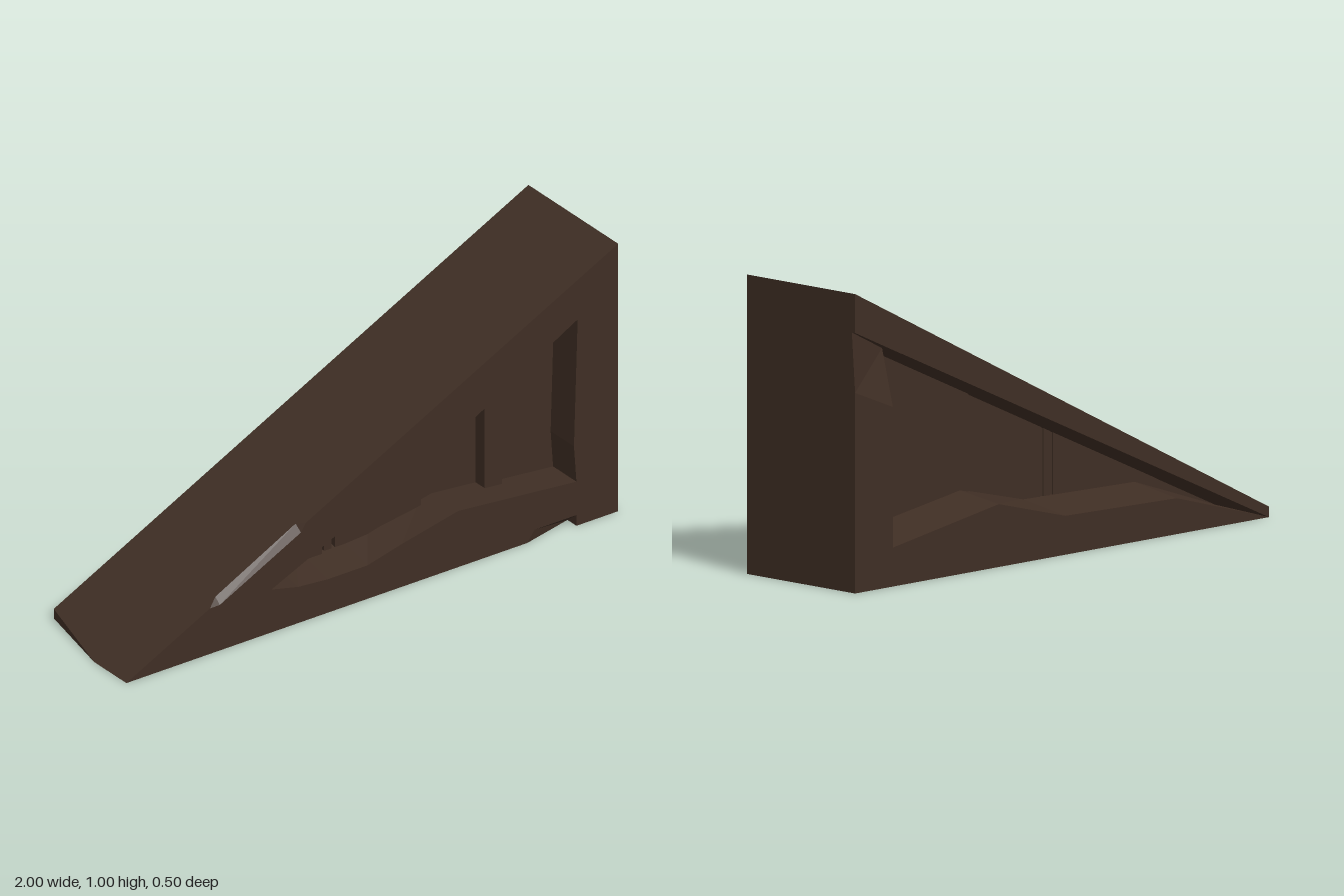
import * as THREE from 'three';

const wood = new THREE.MeshStandardMaterial({ color: 0x3f2e24, side: THREE.DoubleSide });
wood.name = 'dark wood';

const vectors = (pts) => pts.map(([x, y]) => new THREE.Vector2(x, y));

// Flat face: a 2D outline placed in space by a rule, optionally turned over
function face(name, outline, place, flip = false, hole = null) {
  const shape = new THREE.Shape(vectors(outline));
  if (hole) shape.holes.push(new THREE.Path(vectors(hole)));
  const geo = new THREE.ShapeGeometry(shape);
  const pos = geo.attributes.position;
  for (let i = 0; i < pos.count; i++) pos.setXYZ(i, ...place(pos.getX(i), pos.getY(i)));
  if (flip) geo.setIndex(Array.from(geo.index.array).reverse());
  geo.computeVertexNormals();
  const mesh = new THREE.Mesh(geo, wood);
  mesh.name = name;
  return mesh;
}

// Flat-shaded facets, each a convex loop of 3D corners
function facets(name, loops) {
  const out = [];
  for (const p of loops)
    for (let i = 1; i < p.length - 1; i++) out.push(...p[0], ...p[i], ...p[i + 1]);
  const geo = new THREE.BufferGeometry();
  geo.setAttribute('position', new THREE.Float32BufferAttribute(out, 3));
  geo.computeVertexNormals();
  const mesh = new THREE.Mesh(geo, wood);
  mesh.name = name;
  return mesh;
}

// Sides of a recess between an outer and an inner loop
function recessWalls(name, outer, inner, zOut, zIn, flip) {
  const n = outer.length;
  const o = outer.map(([x, y, z = zOut]) => [x, y, z]);
  const q = inner.map(([x, y]) => [x, y, zIn]);
  return facets(name, o.map((a, i) => {
    const j = (i + 1) % n;
    const loop = [a, o[j], q[j], q[i]];
    return flip ? loop.reverse() : loop;
  }));
}

export function createModel() {
  const model = new THREE.Group();
  model.name = 'woodenWedge';
  const F = 0.25, B = -0.25;

  // Front frame with its recess
  const hole = [[-0.41, 0.16], [-0.3, 0.135], [-0.18, 0.125], [-0.02, 0.125], [0.12, 0.16], [0.35, 0.21],
    [0.83, 0.165], [0.82, 0.3], [0.835, 0.77], [0.78, 0.74], [0.37, 0.51], [0.28, 0.47]];
  const rise = [0.005, 0.03, 0.04, 0.04, 0.015];
  const holeInner = hole.map(([x, y], i) => [x, y + (rise[i] || 0)]);
  model.add(face('frontFrame', [[-1, 0], [0.63, 0], [0.66, 0.04], [0.83, 0.04], [0.83, 0], [1, 0], [1, 1],
    [-0.27, 0.365], [-0.29, 0.335], [-0.62, 0.17], [-0.66, 0.17]], (x, y) => [x, y, F], false, hole));
  model.add(recessWalls('frontRecess', hole, holeInner, F, 0.06, false));
  model.add(face('frontBackboard', holeInner, (x, y) => [x, y, 0.06]));

  // Back frame: sloping beam above, post and sill below
  const toBack = (x, y) => [x, y, B];
  model.add(face('backBeam', [[1, 1], [1, 0.87], [-0.93, 0], [-0.93, 0.035]], toBack, true));
  model.add(face('backSill', [[-0.93, 0], [1, 0], [1, 0.67], [0.824, 0.6], [0.824, 0.13], [0.33, 0.21],
    [0.02, 0.13], [-0.5, 0.12]], toBack, true));
  const backHole = [[-0.93, 0], [-0.5, 0.12], [0.02, 0.13], [0.33, 0.21], [0.824, 0.13], [0.824, 0.6],
    [0.824, 0.79, -0.2], [0.824, 0.79]];
  const backInner = [[-0.88, 0.022], [-0.5, 0.15], [0.02, 0.16], [0.33, 0.235], [0.824, 0.16], [0.824, 0.6],
    [0.824, 0.79], [0.824, 0.79]];
  model.add(recessWalls('backRecess', backHole, backInner, B, -0.05, true));
  model.add(face('backBackboard', backInner.slice(0, 7), (x, y) => [x, y, -0.05], true));

  // Worn top of the back post and the seam under the beam
  const R = [0.824, 0.79, -0.2], S = [1, 0.87, -0.235];
  model.add(facets('postTop', [
    [[1, 0.67, B], [0.824, 0.6, B], R, S],
    [[1, 0.87, B], S, R, [0.824, 0.79, B]],
  ]));

  // Outer faces
  model.add(face('slope', [[-1, F], [-0.66, F], [-0.62, 0.225], [-0.29, 0.22], [-0.27, F], [1, F], [1, B],
    [-0.93, B], [-1, 0.07]], (x, z) => [x, 0.5 * (x + 1), z], true));
  model.add(face('base', [[-1, F], [0.63, F], [0.83, 0.2], [0.83, F], [1, F], [1, B], [-0.93, B], [-1, 0.07]],
    (x, z) => [x, 0, z]));
  model.add(face('tallEnd', [[F, 0], [B, 0], [B, 0.67], [-0.235, 0.87], [B, 0.87], [B, 1], [F, 1]],
    (z, y) => [1, y, z], true));

  // Chips: tip corner, upper front edge, lower front edge
  model.add(facets('tipChip', [[[-1, 0, 0.07], [-0.93, 0.035, B], [-0.93, 0, B]]]));
  const f0 = [-0.62, 0.17, F], f1 = [-0.29, 0.335, F], s0 = [-0.62, 0.19, 0.225], s1 = [-0.29, 0.355, 0.22];
  model.add(facets('upperEdgeChip', [[f0, f1, s1, s0], [[-0.66, 0.17, F], f0, s0], [f1, [-0.27, 0.365, F], s1]]));
  const b = [0.66, 0.04, F], c = [0.83, 0.04, F], d = [0.83, 0, 0.2];
  model.add(facets('lowerEdgeChip', [[[0.63, 0, F], d, b], [b, d, c], [d, [0.83, 0, F], c]]));

  // Upright planks filling the frame: x from, x to, back z, front z
  const planks = [[-0.6, -0.12, -0.055, 0.134], [-0.105, -0.075, -0.055, 0.125], [-0.06, 0.29, -0.055, 0.125],
    [0.29, 0.53, -0.07, 0.1], [0.53, 0.6, -0.07, 0.15], [0.6, 0.85, -0.07, 0.12]];
  const top = (x) => 0.448 * x + 0.43;
  for (const [x0, x1, z0, z1] of planks) {
    const shape = new THREE.Shape(vectors([[x0, 0.1], [x1, 0.1], [x1, top(x1)], [x0, top(x0)]]));
    const geo = new THREE.ExtrudeGeometry(shape, { depth: z1 - z0, bevelEnabled: false });
    geo.translate(0, 0, z0);
    const mesh = new THREE.Mesh(geo, wood);
    mesh.name = 'plank';
    model.add(mesh);
  }
  return model;
}
